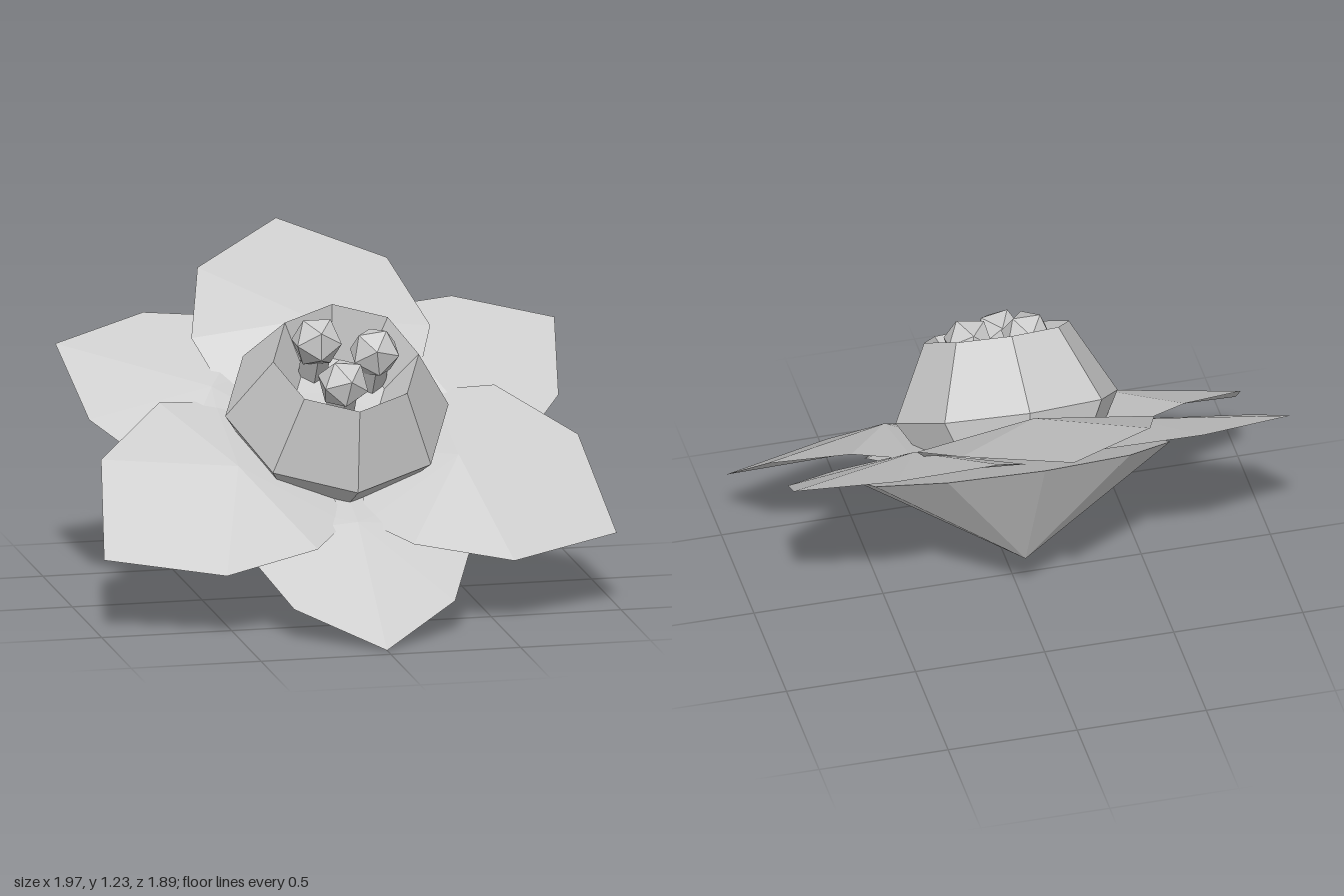
import * as THREE from 'three';

const grey = new THREE.MeshStandardMaterial({ color: 0xcccccc, flatShading: true });

function add(parent, name, geometry, x = 0, y = 0, z = 0) {
  const mesh = new THREE.Mesh(geometry, grey);
  mesh.name = name;
  mesh.position.set(x, y, z);
  parent.add(mesh);
  return mesh;
}

// Faceted lens-like petal pointing to +z: half outline [x, y, z] from tip to base,
// fanned to a raised centre above and a lower centre below
function petalGeometry(half, topY, bottomY, centreZ) {
  const mirrored = half.slice(1, -1).reverse().map(([x, y, z]) => [-x, y, z]);
  const ring = [...half, ...mirrored];
  const n = ring.length;
  const points = [...ring, [0, topY, centreZ], [0, bottomY, centreZ]];
  const index = [];
  for (let i = 0; i < n; i++) {
    const j = (i + 1) % n;
    index.push(n, i, j, n + 1, j, i);
  }
  const g = new THREE.BufferGeometry();
  g.setAttribute('position', new THREE.Float32BufferAttribute(points.flat(), 3));
  g.setIndex(index);
  g.computeVertexNormals();
  return g;
}

export function createModel() {
  const model = new THREE.Group();
  model.name = 'flower';

  // The whole bloom leans forward
  const bloom = new THREE.Group();
  bloom.name = 'bloom';
  bloom.rotation.x = THREE.MathUtils.degToRad(33);
  bloom.position.y = 0.605;
  model.add(bloom);

  // Two alternating layers of three petals
  const upper = petalGeometry(
    [[0, 0.01, 1.14], [0.365, 0.07, 0.85], [0.46, 0.08, 0.48], [0.38, 0.03, 0.265], [0, 0, 0.1]],
    0.14, 0.05, 0.49);
  const lower = petalGeometry(
    [[0, 0.01, 1.11], [0.31, 0, 0.865], [0.47, 0, 0.48], [0.37, -0.03, 0.265], [0, -0.04, 0.1]],
    0.06, -0.02, 0.49);
  for (let i = 0; i < 6; i++) {
    const isUpper = i % 2 === 1;
    const petal = add(bloom, isUpper ? 'upperPetal' : 'lowerPetal', isUpper ? upper : lower);
    petal.rotation.y = i * Math.PI / 3;
  }

  // Pointed cone closing the back of the bloom
  const calyx = add(bloom, 'calyx', new THREE.ConeGeometry(0.6, 0.37, 10), 0, -0.24, 0.03);
  calyx.rotation.x = Math.PI;

  // Eight-sided cup with a hollow top
  const profile = [[0, 0], [0.35, 0.02], [0.43, 0.155], [0.28, 0.44], [0.17, 0.26], [0, 0.25]]
    .map(([r, y]) => new THREE.Vector2(r, y));
  add(bloom, 'cup', new THREE.LatheGeometry(profile, 8));

  // Three stamens: short stalk with a faceted head
  [[-0.09, -0.11], [0.12, -0.04], [-0.03, 0.11]].forEach(([x, z], i) => {
    add(bloom, 'stamenStalk', new THREE.CylinderGeometry(0.06, 0.06, 0.18, 5), x, 0.32, z);
    const head = add(bloom, 'stamenHead', new THREE.IcosahedronGeometry(0.1, 0), x, 0.42, z);
    head.rotation.set(-0.55, i * 2.1, 0, 'YXZ');
  });

  return model;
}
